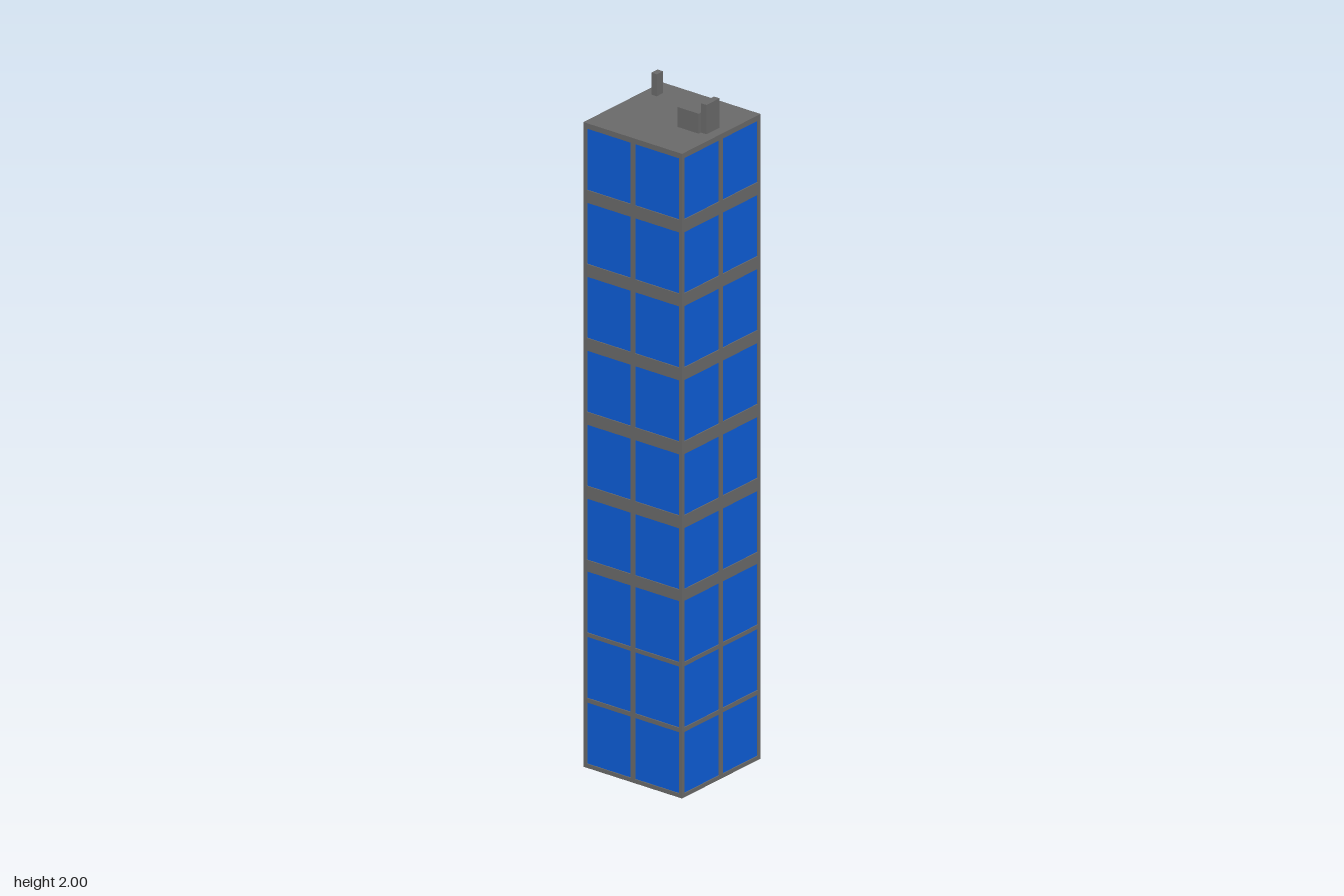
import * as THREE from 'three';

export function createModel() {
  const model = new THREE.Group();
  const concrete = new THREE.MeshStandardMaterial({ color: 0x696969 });
  const glass = new THREE.MeshStandardMaterial({ color: 0x0d5cd6 });

  const HALF = 0.171;    // outer half width
  const DEPTH = 0.003;   // depth of the facade frame
  const INNER = HALF - DEPTH;
  const TOP = 1.913;     // roof level
  const SILL = 0.012, HEAD = 1.897;

  // box given by its limits on each axis
  function block(name, material, [x0, x1], [y0, y1], [z0, z1]) {
    const mesh = new THREE.Mesh(new THREE.BoxGeometry(x1 - x0, y1 - y0, z1 - z0), material);
    mesh.position.set((x0 + x1) / 2, (y0 + y1) / 2, (z0 + z1) / 2);
    mesh.name = name;
    model.add(mesh);
  }

  // Tower body: glass core between a base slab and a roof slab
  const span = [-INNER, INNER];
  block('baseSlab', concrete, span, [0, SILL], span);
  block('glassCore', glass, span, [SILL, HEAD], span);
  block('roofSlab', concrete, span, [HEAD, TOP], span);

  // Nine window rows: thin bars between the lowest three, thick bands above
  const rows = [[SILL, 0.194], [0.207, 0.389], [0.401, 0.583]];
  for (let i = 0; i < 6; i++) {
    const y = 0.617 + i * 0.2195;
    rows.push([y, i === 5 ? HEAD : y + 0.182]);
  }

  // Facade frame with two window openings per row
  const frame = new THREE.Shape([
    new THREE.Vector2(-HALF, 0), new THREE.Vector2(HALF, 0),
    new THREE.Vector2(HALF, TOP), new THREE.Vector2(-HALF, TOP),
  ]);
  for (const [y0, y1] of rows) {
    for (const [x0, x1] of [[-0.16, -0.008], [0.008, 0.16]]) {
      frame.holes.push(new THREE.Path([
        new THREE.Vector2(x0, y0), new THREE.Vector2(x0, y1),
        new THREE.Vector2(x1, y1), new THREE.Vector2(x1, y0),
      ]));
    }
  }
  const frameGeometry = new THREE.ExtrudeGeometry(frame, { depth: DEPTH, bevelEnabled: false });
  frameGeometry.translate(0, 0, INNER);
  ['front', 'left', 'back', 'right'].forEach((side, i) => {
    const mesh = new THREE.Mesh(frameGeometry, concrete);
    mesh.rotation.y = i * Math.PI / 2;
    mesh.name = side + 'FacadeFrame';
    model.add(mesh);
  });

  // Rooftop structures
  block('plantRoom', concrete, [0.048, 0.122], [TOP, 1.972], [-0.04, 0.037]);
  block('liftShaft', concrete, [0.122, 0.141], [TOP, 2.0], [-0.03, 0.027]);
  block('chimney', concrete, [-0.142, -0.123], [TOP, 1.978], [-0.115, -0.088]);

  return model;
}
